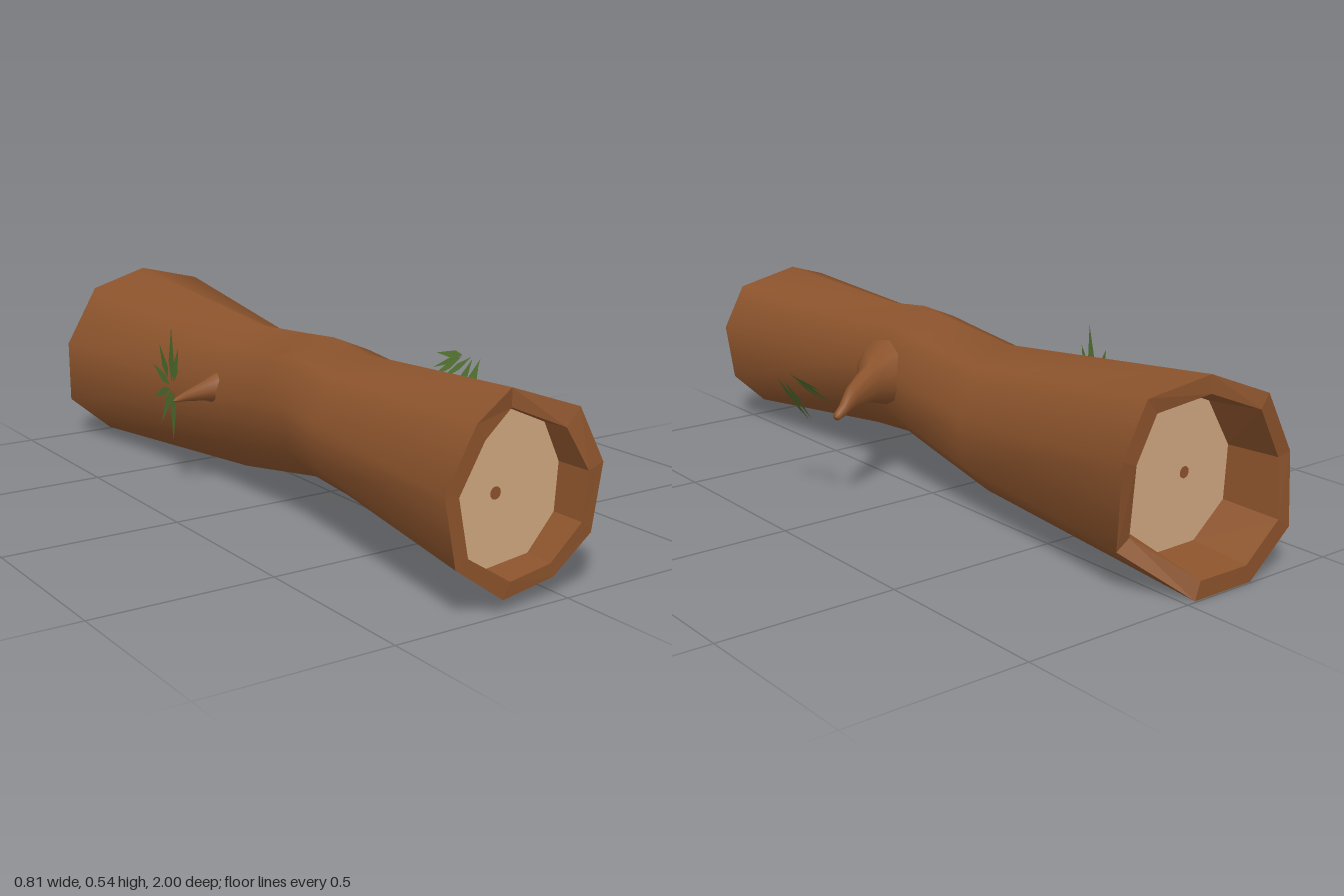
import * as THREE from 'three';

const SIDES = 9;
const V = (x, y, z) => new THREE.Vector3(x, y, z);

// Skin between closed rings of equal point count
function loft(rings, flat = false) {
  const n = rings[0].length, index = [];
  for (let i = 0; i < rings.length - 1; i++) {
    for (let j = 0; j < n; j++) {
      const a = i * n + j, b = i * n + (j + 1) % n;
      index.push(a, b, a + n, b, b + n, a + n);
    }
  }
  let geo = new THREE.BufferGeometry().setFromPoints(rings.flat());
  geo.setIndex(index);
  if (flat) geo = geo.toNonIndexed();
  geo.computeVertexNormals();
  return geo;
}

// Nine-sided ring filling the given x and y extents at depth z
function trunkRing(z, x0, x1, y0, y1) {
  return Array.from({ length: SIDES }, (_, j) => {
    const a = j / SIDES * Math.PI * 2;
    return V((x0 + x1) / 2 + Math.sin(a) / 0.985 * (x1 - x0) / 2,
      y0 + (Math.cos(a) + 0.94) / 1.94 * (y1 - y0), z);
  });
}

// Tapered limb; each stop is [x, y, z, horizontal radius, vertical radius]
function limb(stops, sides = 10) {
  const pts = stops.map(s => V(s[0], s[1], s[2]));
  return loft(stops.map((s, i) => {
    const t = pts[Math.min(i + 1, pts.length - 1)].clone().sub(pts[Math.max(i - 1, 0)]).normalize();
    const u = t.cross(V(0, 1, 0)).normalize();
    return Array.from({ length: sides }, (_, j) => {
      const a = j / sides * Math.PI * 2;
      return pts[i].clone().addScaledVector(u, Math.sin(a) * s[3]).add(V(0, Math.cos(a) * s[4], 0));
    });
  }));
}

// Pointed leaflets lying near one plane; each is [base, tip]
function frond(leaflets, normal, width) {
  const p = [];
  for (const [base, tip] of leaflets) {
    const a = V(...base), b = V(...tip);
    const side = b.clone().sub(a).cross(normal).normalize().multiplyScalar(width);
    const mid = a.clone().lerp(b, 0.35);
    const l = mid.clone().add(side), r = mid.clone().sub(side);
    p.push(a, l, b, a, b, r);
  }
  const geo = new THREE.BufferGeometry().setFromPoints(p);
  geo.computeVertexNormals();
  return geo;
}

export function createModel() {
  const group = new THREE.Group();
  const material = (name, color, side = THREE.FrontSide) => {
    const m = new THREE.MeshStandardMaterial({ color, side });
    m.name = name;
    return m;
  };
  const bark = material('bark', 0x8b532c);
  const wood = material('cut wood', 0xd0a780);
  const leaf = material('leaf', 0x4c6a2c, THREE.DoubleSide);
  const add = (name, geo, mat) => {
    const m = new THREE.Mesh(geo, mat);
    m.name = name;
    group.add(m);
    return m;
  };

  // Rim outlines, clockwise from the top as seen from the front
  const front = [V(-0.12, 0.51, 0.92), V(0.04, 0.455, 0.975), V(0.095, 0.32, 1), V(0.07, 0.15, 0.995),
    V(-0.03, 0.055, 0.98), V(-0.19, 0.035, 0.99), V(-0.33, 0.135, 0.99), V(-0.36, 0.31, 0.985), V(-0.275, 0.46, 0.985)];
  const frontInner = [[-0.12, 0.463], [0, 0.41], [0.05, 0.305], [0.04, 0.18], [-0.04, 0.09],
    [-0.17, 0.075], [-0.295, 0.155], [-0.32, 0.3], [-0.25, 0.42]].map(([x, y], i) => V(x, y, front[i].z));
  const back = [V(-0.11, 0.54, -0.94), V(0.06, 0.5, -0.9), V(0.135, 0.36, -0.9), V(0.11, 0.12, -0.865),
    V(-0.03, 0.002, -0.995), V(-0.22, 0.005, -1), V(-0.355, 0.12, -1), V(-0.365, 0.31, -0.98), V(-0.26, 0.48, -0.99)];
  const shrink = (ring, k, z) => ring.map(p => V(-0.12 + (p.x + 0.12) * k, 0.27 + (p.y - 0.27) * k, z ?? p.z));
  const backInner = shrink(back, 0.82);

  // Trunk with a slim waist
  add('trunk', loft([front,
    trunkRing(0.36, -0.3, 0.05, 0.118, 0.485),
    trunkRing(0.2, -0.29, 0.045, 0.128, 0.503),
    trunkRing(0.06, -0.285, 0.055, 0.103, 0.49),
    trunkRing(-0.2, -0.275, 0.07, 0.057, 0.468),
    back]), bark);

  // Hollow ends: rim, inner wall, sawn face
  const frontDeep = shrink(frontInner, 0.985, 0.9);
  const backDeep = shrink(backInner, 0.93, -0.83);
  const centre = z => Array.from({ length: SIDES }, () => V(-0.147, 0.26, z));
  add('frontRim', loft([frontInner, front], true), bark);
  add('frontInnerWall', loft([frontDeep, frontInner], true), bark);
  add('frontSawnFace', loft([centre(0.9), frontDeep], true), wood);
  add('backRim', loft([back, backInner], true), bark);
  add('backInnerWall', loft([backInner, backDeep], true), bark);
  add('backSawnFace', loft([backDeep, centre(-0.83)], true), wood);

  // Pith spots
  const pith = new THREE.CircleGeometry(0.016, 12);
  add('frontPith', pith, bark).position.set(-0.147, 0.26, 0.903);
  const backPith = add('backPith', pith, bark);
  backPith.position.set(-0.147, 0.26, -0.833);
  backPith.rotation.y = Math.PI;

  // Side branches
  add('leftBranch', limb([
    [-0.03, 0.32, 0.21, 0.13, 0.11], [0.05, 0.322, 0.18, 0.085, 0.085], [0.12, 0.32, 0.14, 0.036, 0.056],
    [0.22, 0.306, 0.088, 0.022, 0.033], [0.262, 0.28, 0.07, 0.014, 0.018], [0.285, 0.27, 0.062, 0.012, 0.012],
    [0.291, 0.268, 0.06, 0, 0]]), bark);
  add('rightBranch', limb([
    [-0.24, 0.3, -0.21, 0.05, 0.05], [-0.29, 0.3, -0.205, 0.028, 0.03],
    [-0.36, 0.296, -0.19, 0.014, 0.015], [-0.4, 0.292, -0.178, 0.008, 0.007], [-0.41, 0.291, -0.175, 0, 0]], 8), bark);

  // Leaf sprays
  add('leftLeaves', frond([
    [[0.39, 0.36, 0.18], [0.29, 0.24, 0.23]],
    [[0.405, 0.375, 0.17], [0.29, 0.225, 0.19]],
    [[0.4, 0.37, 0.14], [0.31, 0.245, 0.15]],
    [[0.37, 0.385, 0.17], [0.29, 0.305, 0.11]],
    [[0.37, 0.38, 0.13], [0.29, 0.3, 0.06]],
    [[0.38, 0.38, 0.12], [0.37, 0.37, 0.01]],
    [[0.38, 0.375, 0.11], [0.35, 0.33, 0.02]]], V(-0.72, 0.69, 0), 0.014), leaf);
  add('rightLeaves', frond([
    [[-0.365, 0.32, -0.27], [-0.38, 0.49, -0.235]],
    [[-0.365, 0.32, -0.26], [-0.37, 0.43, -0.215]],
    [[-0.37, 0.33, -0.28], [-0.385, 0.43, -0.3]],
    [[-0.365, 0.31, -0.28], [-0.375, 0.36, -0.365]],
    [[-0.365, 0.3, -0.28], [-0.37, 0.26, -0.37]],
    [[-0.365, 0.3, -0.27], [-0.365, 0.19, -0.335]],
    [[-0.365, 0.3, -0.26], [-0.355, 0.145, -0.285]]], V(-1, 0, 0.1), 0.014), leaf);

  return group;
}
